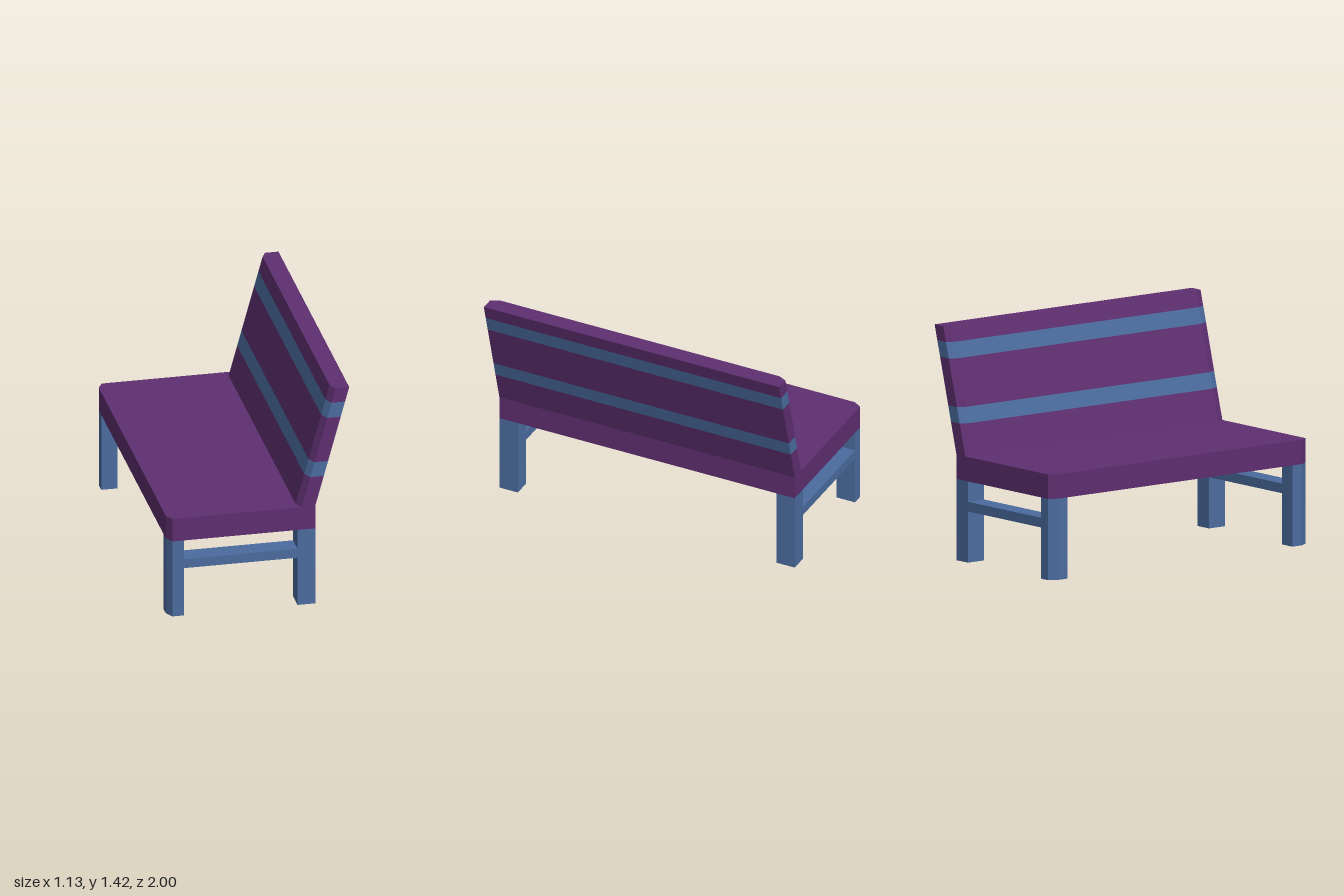
import * as THREE from 'three';

const purple = new THREE.MeshStandardMaterial({ color: 0x5e2f70, flatShading: true });
const blue = new THREE.MeshStandardMaterial({ color: 0x4b6c9f, flatShading: true });

const SEAT_TOP = 0.65, LEAN = 0.21 / 0.77;

// Upright prism from a plan outline of [x, z] corners between two heights
function prism(name, outline, y0, y1, material) {
  const shape = new THREE.Shape(outline.map(([x, z]) => new THREE.Vector2(x, -z)));
  const geometry = new THREE.ExtrudeGeometry(shape, { depth: y1 - y0, bevelEnabled: false });
  geometry.rotateX(-Math.PI / 2).translate(0, y0, 0);
  const mesh = new THREE.Mesh(geometry, material);
  mesh.name = name;
  return mesh;
}

// Full-width plan whose two corners on the sitting side are cut off
const slab = (x0, x1, cut) => [
  [x0 + cut, -1], [x1, -1], [x1, 1], [x0 + cut, 1], [x0, 0.947], [x0, -0.947],
];

// Slice of the backrest, sheared so it leans away from the seat
function backBand(name, y0, y1, material) {
  const mesh = prism(name, slab(0.24, 0.35, 0.026), y0, y1, material);
  const p = mesh.geometry.attributes.position;
  for (let i = 0; i < p.count; i++) p.setX(i, p.getX(i) + LEAN * (p.getY(i) - SEAT_TOP));
  mesh.geometry.computeVertexNormals();
  return mesh;
}

export function createModel() {
  const bench = new THREE.Group();
  bench.name = 'bench';

  // Seat
  bench.add(prism('seat', slab(-0.565, 0.35, 0.03), 0.5, SEAT_TOP, purple));

  // Backrest: padding alternating with two stripes
  const backrest = new THREE.Group();
  backrest.name = 'backrest';
  const heights = [SEAT_TOP, 0.845, 0.942, 1.23, 1.328, 1.422];
  for (let i = 0; i < 5; i++) {
    const stripe = i % 2 === 1;
    backrest.add(backBand(stripe ? 'backStripe' : 'backPanel', heights[i], heights[i + 1], stripe ? blue : purple));
  }
  bench.add(backrest);

  // Legs and a side rail at each end
  for (const s of [1, -1]) {
    const end = new THREE.Group();
    end.name = s > 0 ? 'leftEndFrame' : 'rightEndFrame';
    const side = (outline) => outline.map(([x, z]) => [x, s * z]);
    const rect = (x0, x1) => side([[x0, 0.875], [x1, 0.875], [x1, 1], [x0, 1]]);
    const cutLeg = side([[-0.565, 0.875], [-0.465, 0.875], [-0.465, 1], [-0.535, 1], [-0.565, 0.947]]);
    end.add(
      prism('frontLeg', cutLeg, 0, 0.5, blue),
      prism('rearLeg', rect(0.24, 0.35), 0, 0.5, blue),
      prism('sideRail', rect(-0.465, 0.24), 0.315, 0.375, blue),
    );
    bench.add(end);
  }
  return bench;
}
